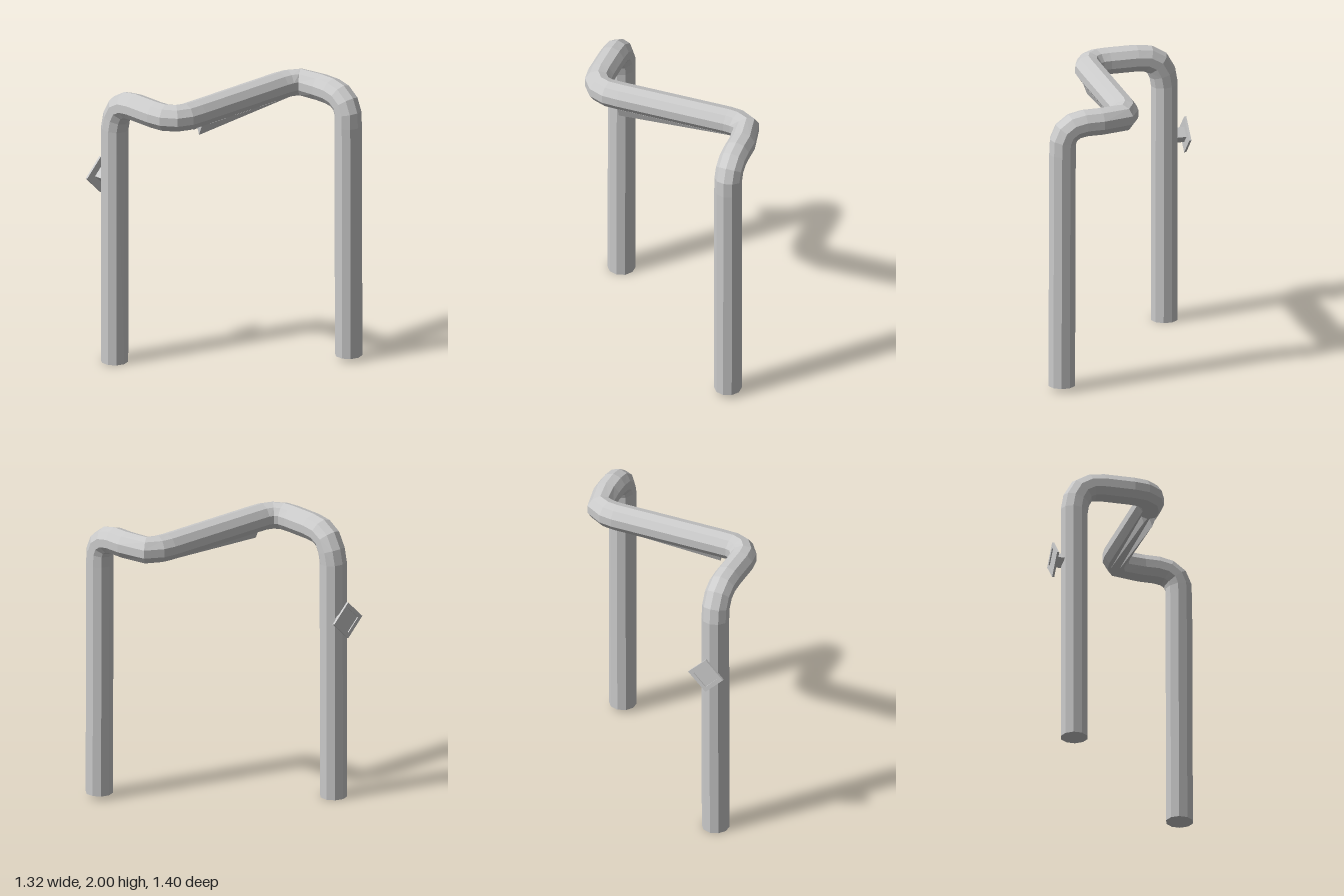
import * as THREE from 'three';

const material = new THREE.MeshStandardMaterial({ color: 0xcccccc, flatShading: true, side: THREE.DoubleSide });

function makeMesh(name, positions, indices) {
  const geometry = new THREE.BufferGeometry();
  geometry.setAttribute('position', new THREE.Float32BufferAttribute(positions, 3));
  geometry.setIndex(indices);
  const flat = geometry.toNonIndexed();
  flat.computeVertexNormals();
  const mesh = new THREE.Mesh(flat, material);
  mesh.name = name;
  return mesh;
}

// Faceted pipe swept along a polyline, the ring carried from bend to bend without twist
function sweepPipe(name, points, radius, sides, startSide) {
  const path = points.map(p => new THREE.Vector3(...p));
  const last = path.length - 1;
  const u = startSide.clone(), v = new THREE.Vector3(), turn = new THREE.Quaternion();
  const positions = [], indices = [];
  let before = null;
  path.forEach((p, i) => {
    const tangent = new THREE.Vector3();
    if (i > 0) tangent.add(p.clone().sub(path[i - 1]).normalize());
    if (i < last) tangent.add(path[i + 1].clone().sub(p).normalize());
    tangent.normalize();
    // Leg feet are cut level
    if (i === 0 || i === last) tangent.set(0, Math.sign(tangent.y), 0);
    if (before) u.applyQuaternion(turn.setFromUnitVectors(before, tangent));
    before = tangent;
    v.crossVectors(tangent, u);
    for (let j = 0; j < sides; j++) {
      const a = (j / sides) * Math.PI * 2;
      const q = p.clone().addScaledVector(u, radius * Math.cos(a)).addScaledVector(v, radius * Math.sin(a));
      positions.push(q.x, q.y, q.z);
    }
  });
  for (let i = 0; i < last; i++) {
    for (let j = 0; j < sides; j++) {
      const k = (j + 1) % sides;
      const a = i * sides + j, b = i * sides + k;
      indices.push(a, b, a + sides, b, b + sides, a + sides);
    }
  }
  // End caps
  for (let j = 1; j < sides - 1; j++) {
    const e = last * sides;
    indices.push(0, j + 1, j, e, e + j, e + j + 1);
  }
  return makeMesh(name, positions, indices);
}

// Wedge under the beam: a triangle at the front that fades out towards the back
function taperedFin(name, left, tip, right, tipY) {
  const top = 1.83, front = 0.36, back = -0.5;
  return makeMesh(name, [
    left, top, front, tip, tipY, front, right, top, front,
    left, top, back, tip, 1.82, back, right, top, back,
  ], [0, 1, 2, 3, 5, 4, 0, 3, 4, 0, 4, 1, 1, 4, 5, 1, 5, 2, 0, 2, 5, 0, 5, 3]);
}

// Diamond in the z-y plane, extruded along x
function diamond(Type, r) {
  const s = new Type();
  s.moveTo(r, 0).lineTo(0, r).lineTo(-r, 0).lineTo(0, -r);
  s.closePath();
  return s;
}

function diamondSlab(name, r, x0, x1, hole) {
  const shape = diamond(THREE.Shape, r);
  if (hole) shape.holes.push(diamond(THREE.Path, hole));
  const geometry = new THREE.ExtrudeGeometry(shape, { depth: x1 - x0, bevelEnabled: false });
  geometry.rotateY(Math.PI / 2);
  geometry.translate(x0, 1.32, 0.57);
  const mesh = new THREE.Mesh(geometry, material);
  mesh.name = name;
  return mesh;
}

export function createModel() {
  const group = new THREE.Group();
  group.name = 'bentPipe';
  const y = 1.905;

  // Front leg, arm, cross beam, rear arm and rear leg as one pipe
  group.add(sweepPipe('pipe', [
    [-0.505, 0, 0.575], [-0.505, 1.7, 0.573], [-0.49, 1.785, 0.57], [-0.45, 1.858, 0.57],
    [-0.385, 1.895, 0.57], [-0.3, y, 0.57], [-0.1, y, 0.57], [-0.02, y, 0.56],
    [0.043, y, 0.515], [0.07, y, 0.445], [0.073, y, 0.35],
    [0.073, y, -0.43], [0.082, y, -0.5], [0.122, y, -0.578], [0.29, y, -0.61],
    [0.4, y, -0.612], [0.475, 1.89, -0.612], [0.53, 1.85, -0.612], [0.555, 1.79, -0.612],
    [0.558, 1.7, -0.612], [0.563, 0.03, -0.612],
  ], 0.095, 10, new THREE.Vector3(-1, 0, 0)));

  // Fins below the cross beam
  group.add(taperedFin('outerFin', 0.08, 0.105, 0.132, 1.76));
  group.add(taperedFin('innerFin', 0.025, 0.045, 0.085, 1.78));

  // Diamond plate on a short stem
  const bracket = new THREE.Group();
  bracket.name = 'sidePlate';
  bracket.add(
    diamondSlab('plateRim', 0.13, -0.66, -0.645, 0.09),
    diamondSlab('platePanel', 0.092, -0.652, -0.645),
    diamondSlab('plateStem', 0.055, -0.647, -0.585),
  );
  group.add(bracket);
  return group;
}
